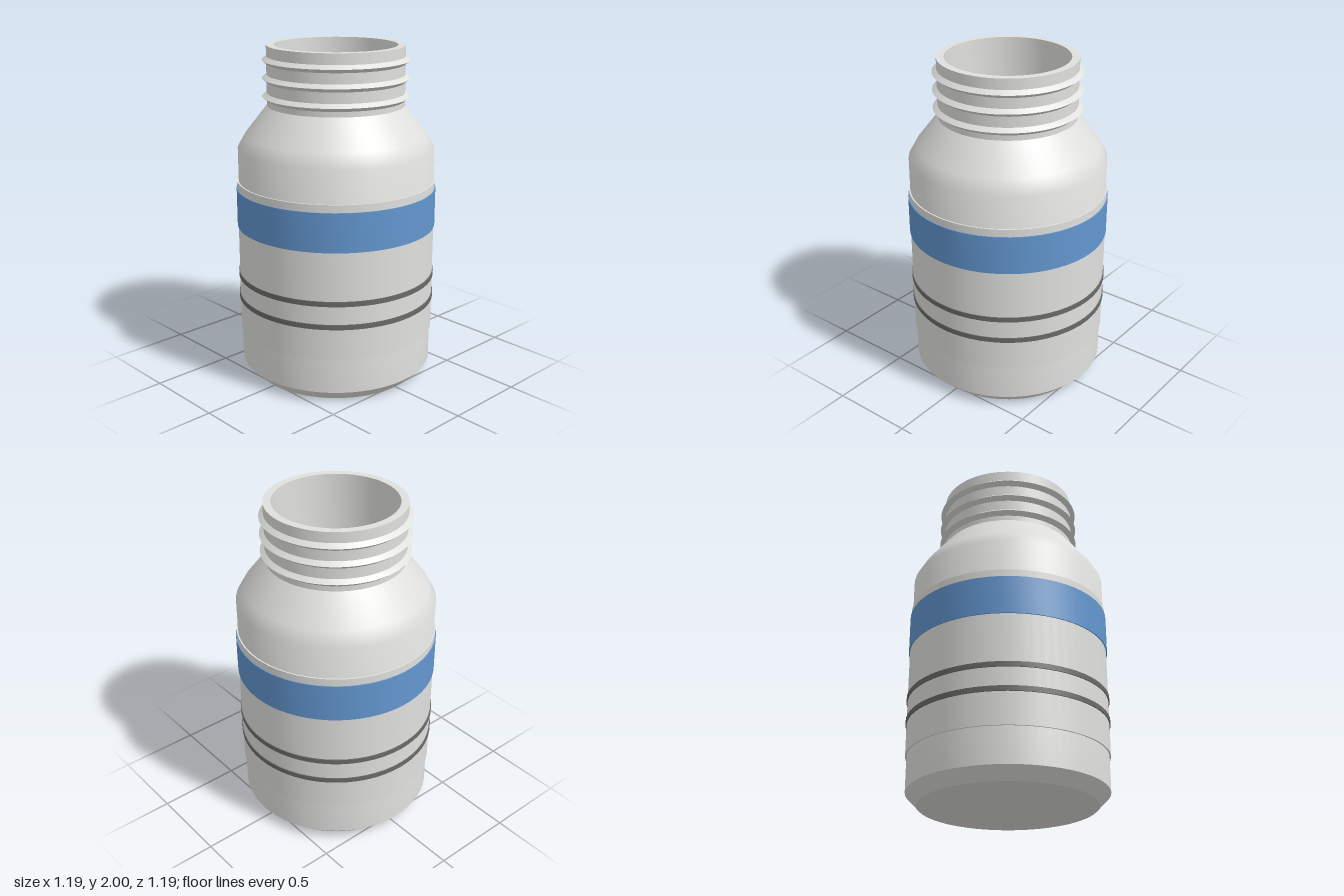
import * as THREE from 'three';
import { toCreasedNormals } from 'three/addons/utils/BufferGeometryUtils.js';

const SEGMENTS = 64;

function material(name, color) {
  const m = new THREE.MeshStandardMaterial({ color });
  m.name = name;
  return m;
}

// Turned part from [radius, height] pairs, listed so that the surface faces outwards
function turned(name, profile, mat) {
  const points = profile.map(([r, y]) => new THREE.Vector2(r, y));
  const geometry = toCreasedNormals(new THREE.LatheGeometry(points, SEGMENTS), 0.6);
  const mesh = new THREE.Mesh(geometry, mat);
  mesh.name = name;
  return mesh;
}

// Thin sleeve wrapped round the body, with closed top and bottom edges
function sleeve(name, radius, bottom, top, mat) {
  return turned(name, [[0.58, bottom], [radius, bottom], [radius, top], [0.58, top]], mat);
}

export function createModel() {
  const plastic = material('pale plastic', 0xe0e0de);
  const blue = material('label blue', 0x6397cf);
  const dark = material('dark grey', 0x6a6a68);
  const brown = material('pill brown', 0xc48e63);

  const model = new THREE.Group();
  model.name = 'pillBottle';

  // Hollow body: base, wall, shoulder, neck, rim and inside
  model.add(turned('bottleBody', [
    [0, 0], [0.515, 0], [0.583, 0.07], [0.583, 1.4], [0.538, 1.48], [0.405, 1.65],
    [0.405, 2], [0.36, 2], [0.36, 1.62], [0.5, 1.44], [0.54, 1.38], [0.54, 0.08], [0, 0.08],
  ], plastic));

  // Screw ridges on the neck
  for (const y of [1.703, 1.81, 1.915]) {
    model.add(turned('neckRidge', [[0.4, y - 0.026], [0.432, y], [0.4, y + 0.026]], plastic));
  }

  // Label with its coloured band and two rules
  model.add(sleeve('label', 0.591, 0.28, 1.205, plastic));
  model.add(sleeve('labelBand', 0.597, 0.93, 1.16, blue));
  model.add(sleeve('lowerRule', 0.597, 0.47, 0.5, dark));
  model.add(sleeve('upperRule', 0.597, 0.61, 0.64, dark));

  // Pills: one in the middle and a heaped ring around it
  const pills = new THREE.Group();
  pills.name = 'pills';
  const pillGeometry = new THREE.SphereGeometry(0.116, 10, 8);
  const addPill = (x, y, z) => {
    const pill = new THREE.Mesh(pillGeometry, brown);
    pill.name = 'pill';
    pill.position.set(x, y, z);
    pills.add(pill);
  };
  addPill(0, 0.19, 0);
  const raised = [1, 3, 6, 8, 11];
  for (let i = 0; i < 12; i++) {
    const a = (i / 12) * Math.PI * 2;
    addPill(Math.cos(a) * 0.325, raised.includes(i) ? 0.32 : 0.19, Math.sin(a) * 0.325);
  }
  model.add(pills);

  return model;
}
